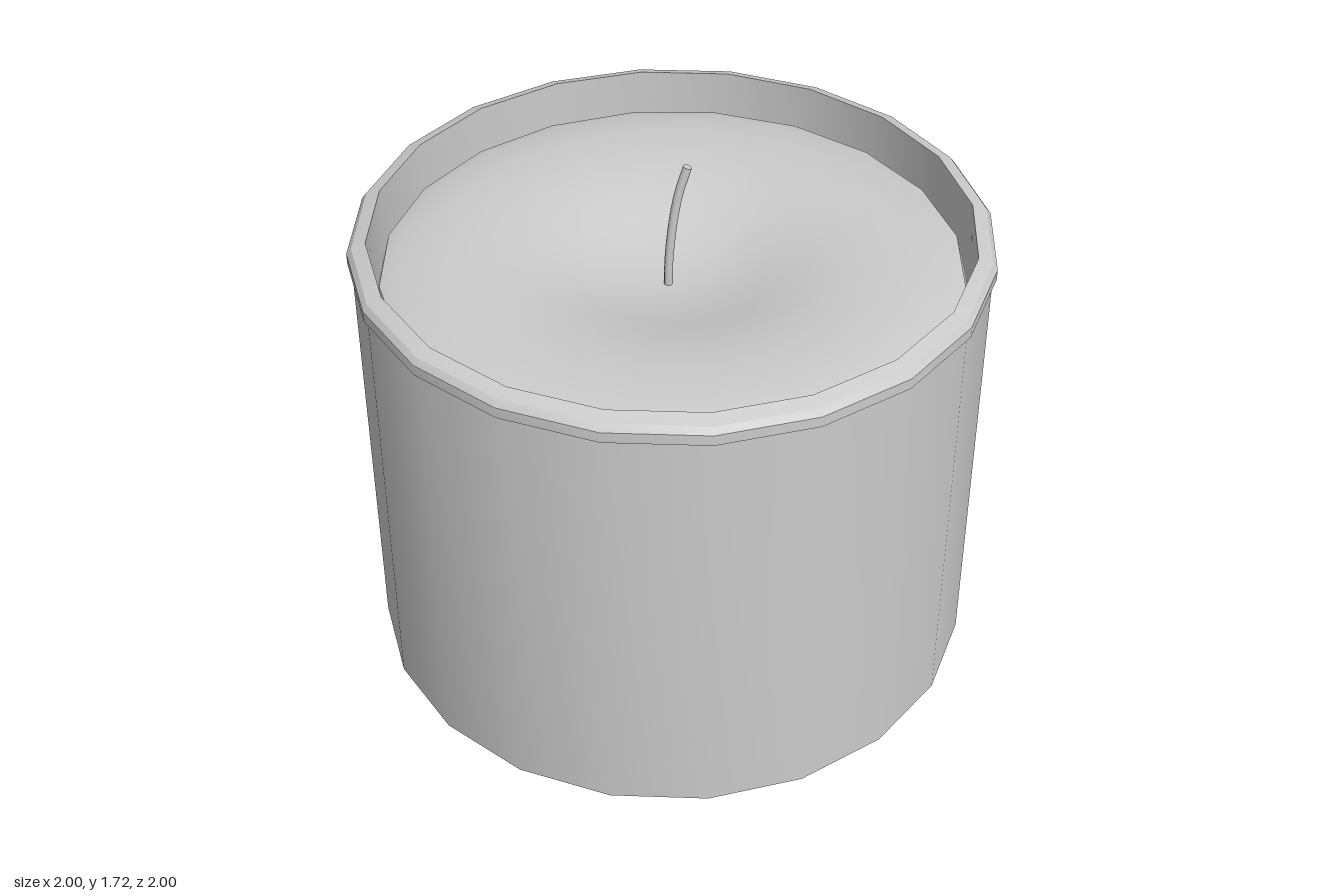
import * as THREE from 'three';
import { toCreasedNormals } from 'three/addons/utils/BufferGeometryUtils.js';

const SIDES = 20;
const material = new THREE.MeshStandardMaterial({ color: 0xcccccc });

function addMesh(group, name, geometry) {
  const mesh = new THREE.Mesh(geometry, material);
  mesh.name = name;
  group.add(mesh);
  return mesh;
}

// Turned part from [radius, height] pairs, with sharp profile corners
function turned(profile) {
  const points = profile.map(([r, y]) => new THREE.Vector2(r, y));
  return toCreasedNormals(new THREE.LatheGeometry(points, SIDES), 0.4);
}

export function createModel() {
  const group = new THREE.Group();
  group.name = 'candle';

  // Open sleeve with a thickened, bevelled lip
  addMesh(group, 'jar', turned([
    [0.95, 0], [0.988, 0], [0.988, 1.435], [1, 1.44], [1, 1.475],
    [0.985, 1.495], [0.94, 1.51], [0.94, 1.2], [0.95, 0],
  ]));

  // Solid wax fill, hollowed by a melt pool around the wick
  const wax = addMesh(group, 'wax', turned([
    [0, 0.04], [0.955, 0.04], [0.955, 1.2], [0.91, 1.372],
    [0.86, 1.39], [0.74, 1.4], [0.6, 1.4], [0.5, 1.391], [0.4, 1.372],
    [0.3, 1.342], [0.2, 1.312], [0.1, 1.297], [0, 1.292],
  ]));
  wax.rotation.y = 0.04;

  // Leaning, gently curved wick with a flat tip
  const path = new THREE.CatmullRomCurve3([
    new THREE.Vector3(-0.012, 1.26, 0.01),
    new THREE.Vector3(-0.01, 1.38, 0.008),
    new THREE.Vector3(0.002, 1.52, 0.002),
    new THREE.Vector3(0.018, 1.62, -0.005),
    new THREE.Vector3(0.043, 1.712, -0.014),
  ]);
  const radius = 0.014;
  addMesh(group, 'wick', new THREE.TubeGeometry(path, 12, radius, 8));
  const tip = addMesh(group, 'wickTip', new THREE.CircleGeometry(radius, 8));
  tip.position.copy(path.getPoint(1));
  tip.quaternion.setFromUnitVectors(new THREE.Vector3(0, 0, 1), path.getTangent(1));

  return group;
}
